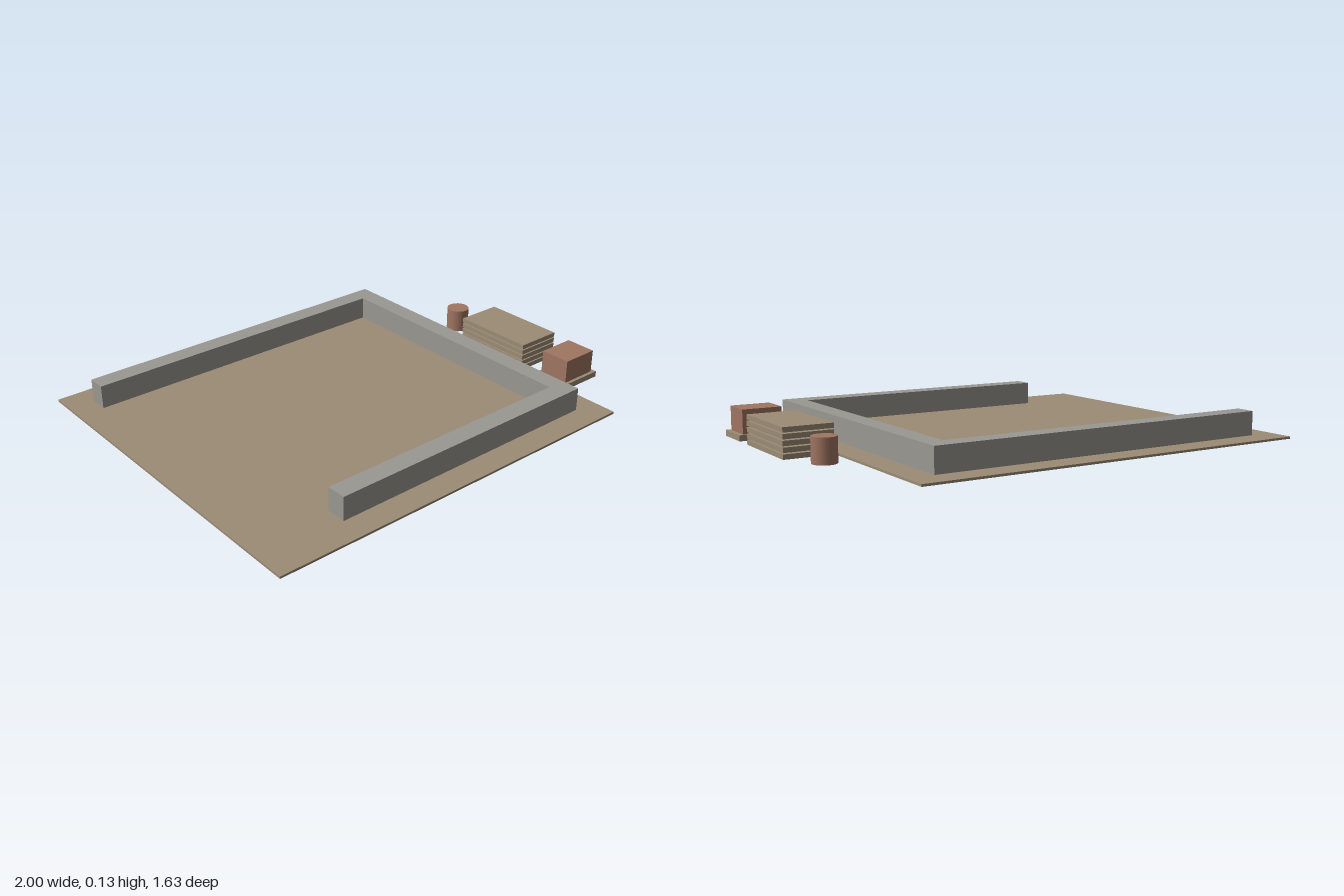
import * as THREE from 'three';

const material = (name, color) => {
  const m = new THREE.MeshStandardMaterial({ color });
  m.name = name;
  return m;
};

export function createModel() {
  const group = new THREE.Group();
  const earth = material('earth and timber brown', 0x9c8c75);
  const stone = material('stone grey', 0x9a9892);
  const clay = material('clay red', 0xa17562);

  const add = (name, geometry, mat) => {
    const mesh = new THREE.Mesh(geometry, mat);
    mesh.name = name;
    group.add(mesh);
    return mesh;
  };
  // Box given by its extents along each axis
  const box = (name, mat, [x0, x1], [y0, y1], [z0, z1]) =>
    add(name, new THREE.BoxGeometry(x1 - x0, y1 - y0, z1 - z0), mat)
      .position.set((x0 + x1) / 2, (y0 + y1) / 2, (z0 + z1) / 2);

  // Thin ground slab; its underside is a hair above the wall footing
  box('groundSlab', earth, [-1, 0.785], [0.0004, 0.01], [-0.815, 0.815]);

  // Low U-shaped wall, outlined as [x, z] and extruded upwards
  const outline = [
    [-0.885, -0.705], [0.673, -0.705], [0.673, 0.7], [-0.625, 0.7],
    [-0.625, 0.613], [0.587, 0.613], [0.587, -0.62], [-0.885, -0.62],
  ];
  const shape = new THREE.Shape(outline.map(([x, z]) => new THREE.Vector2(x, -z)));
  const wall = new THREE.ExtrudeGeometry(shape, { depth: 0.115, bevelEnabled: false });
  wall.rotateX(-Math.PI / 2);
  add('foundationWall', wall, stone);

  // Stack of five boards with narrow gaps
  for (let i = 0; i < 5; i++) {
    const y = i * 0.0265;
    box('stackedBoard' + (i + 1), earth, [0.785, 1], [y, y + 0.021], [-0.108, 0.28]);
  }

  // Block of bricks on its pallet
  box('pallet', earth, [0.785, 1], [0, 0.026], [0.37, 0.54]);
  box('brickBlock', clay, [0.805, 0.98], [0.026, 0.132], [0.383, 0.525]);

  // Barrel
  add('barrel', new THREE.CylinderGeometry(0.052, 0.052, 0.106, 24), clay)
    .position.set(0.89, 0.053, -0.248);

  return group;
}
